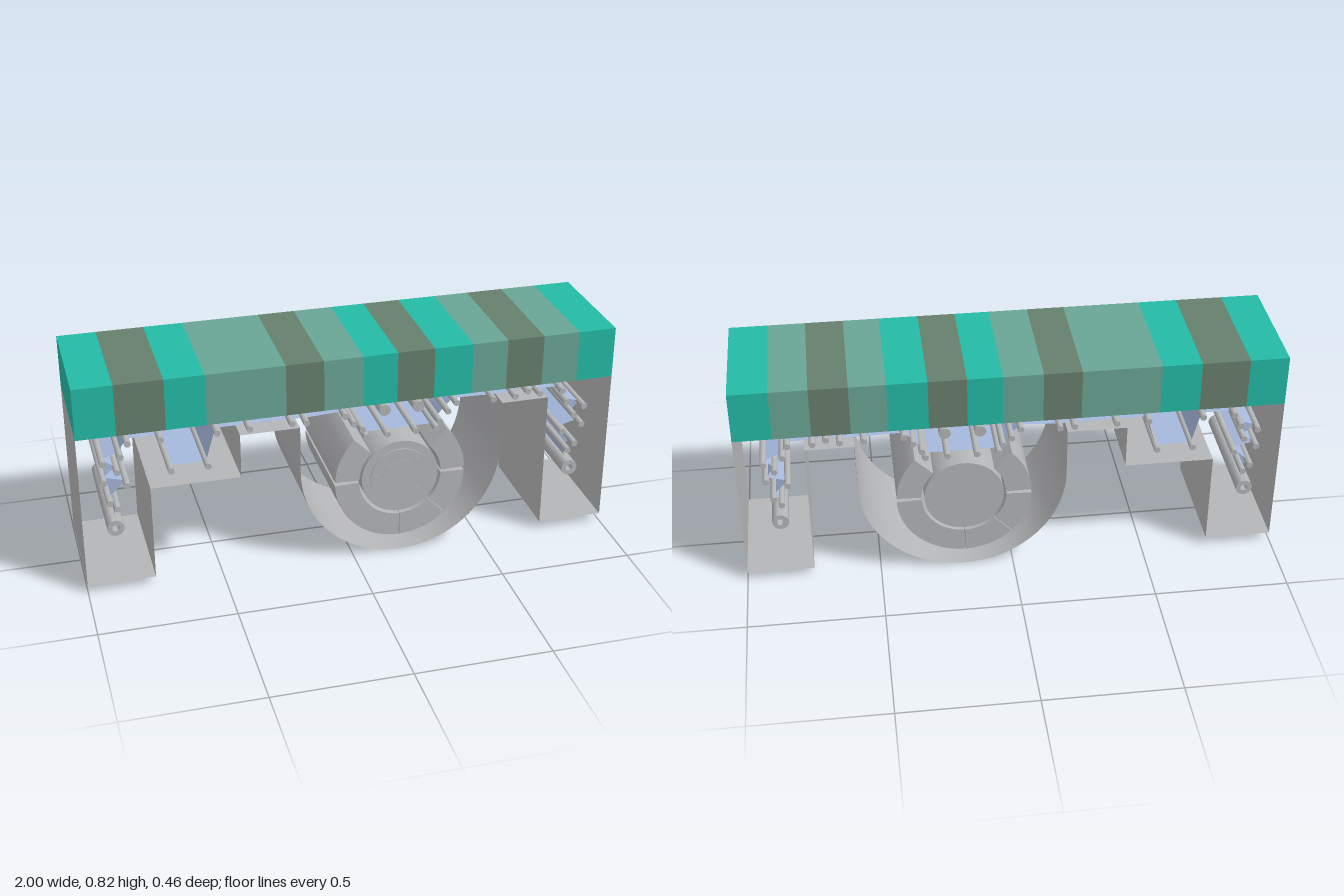
import * as THREE from 'three';
import { toCreasedNormals } from 'three/addons/utils/BufferGeometryUtils.js';

const mat = (name, color, side = THREE.FrontSide) => {
  const m = new THREE.MeshStandardMaterial({ color, side });
  m.name = name;
  return m;
};

// Open sheet swept along z, following a path of [x, y] points
function ribbon(points, z0, z1) {
  const pos = [];
  for (let i = 0; i < points.length - 1; i++) {
    const [ax, ay] = points[i], [bx, by] = points[i + 1];
    pos.push(ax, ay, z0, bx, by, z0, bx, by, z1, ax, ay, z0, bx, by, z1, ax, ay, z1);
  }
  const g = new THREE.BufferGeometry();
  g.setAttribute('position', new THREE.Float32BufferAttribute(pos, 3));
  return toCreasedNormals(g, 0.35);
}

export function createModel() {
  const model = new THREE.Group();
  model.name = 'webMachine';
  const grey = mat('machineGrey', 0xb4b5b7);
  const sheetGrey = grey.clone();
  sheetGrey.side = THREE.DoubleSide;
  const blue = mat('webBlue', 0xa5b8dc, THREE.DoubleSide);
  const T = mat('teal', 0x24baa5), S = mat('sage', 0x69a594), O = mat('olive', 0x667f6c);
  const W = 0.23;

  const add = (parent, name, geo, material, x = 0, y = 0, z = 0) => {
    const m = new THREE.Mesh(geo, material);
    m.name = name;
    m.position.set(x, y, z);
    parent.add(m);
    return m;
  };
  const group = (name, x = 0, y = 0) => {
    const g = new THREE.Group();
    g.name = name;
    g.position.set(x, y, 0);
    model.add(g);
    return g;
  };
  const rod = (r, z0, z1, sides = 20) =>
    new THREE.CylinderGeometry(r, r, z1 - z0, sides).rotateX(Math.PI / 2).translate(0, 0, (z0 + z1) / 2);

  // Striped top block
  const top = group('topBlock');
  const edges = [-1, -0.857, -0.682, -0.537, -0.249, -0.11, 0.035, 0.163, 0.302, 0.447, 0.58, 0.72, 0.858, 1];
  [T, O, T, S, O, S, T, O, T, S, O, S, T].forEach((m, i) => {
    const w = edges[i + 1] - edges[i];
    // the underside of each section is plain grey
    add(top, 'topSection', new THREE.BoxGeometry(w, 0.196, 2 * W), [m, m, m, grey, m, m],
      edges[i] + w / 2, 0.725);
  });

  // Thin casing: legs, shelf and round trough, open at front and back
  const trough = [];
  for (let i = 0; i <= 40; i++) {
    const a = Math.PI * (1 + i / 40);
    trough.push([0.185 + 0.385 * Math.cos(a), 0.385 + 0.385 * Math.sin(a)]);
  }
  const casing = [
    [-1, 0.627], [-1, 0.03], [-0.75, 0.03], [-0.75, 0.4], [-0.42, 0.4], [-0.42, 0.57], [-0.2, 0.57],
    ...trough, [0.57, 0.57], [0.75, 0.57], [0.75, 0.03], [1, 0.03], [1, 0.627],
  ];
  add(model, 'casing', ribbon(casing, -W, W), sheetGrey);

  // Drum: hub with a ring of six separate sectors, open at the top
  const drum = group('drum', 0.18, 0.315);
  for (let i = 0; i < 6; i++) {
    const a = Math.PI * (0.75 + i * 0.25);
    const big = 0.03, small = 0.006;
    const a0 = a + (i === 1 || i === 5 ? big : small);
    const a1 = a + Math.PI / 4 - (i === 0 || i === 4 ? big : small);
    const s = new THREE.Shape();
    s.absarc(0, 0, 0.25, a0, a1, false);
    s.absarc(0, 0, 0.158, a1, a0, true);
    s.closePath();
    const g = new THREE.ExtrudeGeometry(s, { depth: 2 * W - 0.004, bevelEnabled: false, curveSegments: 16 });
    add(drum, 'drumSector', toCreasedNormals(g, 0.4), grey, 0, 0, -W + 0.002);
  }
  add(drum, 'hub', rod(0.147, -W + 0.002, W - 0.004, 48), grey);
  add(drum, 'hubPlate', rod(0.115, W - 0.006, W + 0.001, 48), grey);
  add(drum, 'hubCap', rod(0.068, W - 0.006, W + 0.003, 40), grey);
  for (let i = 0; i < 8; i++) {
    const a = i * Math.PI / 4;
    add(drum, 'bolt', rod(0.012, W - 0.006, W + 0.003, 14), grey, 0.088 * Math.cos(a), 0.088 * Math.sin(a));
  }

  // Web path, from the left reel over every guide roller to the right reel
  const path = [
    [-0.87, 0.33], [-0.896, 0.356], [-0.83, 0.42], [-0.912, 0.441], [-0.863, 0.478], [-0.912, 0.516],
    [-0.848, 0.537], [-0.82, 0.586], [-0.703, 0.586], [-0.671, 0.457], [-0.537, 0.457], [-0.5, 0.586],
    [-0.382, 0.586], [-0.227, 0.586], [-0.174, 0.582], [-0.03, 0.59], [0.003, 0.554], [0.035, 0.527],
    [0.05, 0.495], [0.13, 0.495], [0.238, 0.495], [0.318, 0.495], [0.33, 0.522], [0.361, 0.559],
    [0.393, 0.59], [0.537, 0.586], [0.623, 0.586], [0.671, 0.602], [0.72, 0.586], [0.81, 0.586],
    [0.83, 0.537], [0.901, 0.511], [0.863, 0.478], [0.896, 0.436], [0.82, 0.414], [0.874, 0.356],
    [0.848, 0.329],
  ];
  const reels = [[-0.882, 0.254], [0.858, 0.254]];
  add(model, 'web', ribbon([reels[0], ...path, reels[1]], -0.19, 0.18), blue);

  const rollers = group('rollers');
  const small = rod(0.012, -0.226, 0.226, 16), big = rod(0.022, -0.226, 0.226, 24);
  for (const [x, y] of path) add(rollers, 'guideRoller', small, grey, x, y);
  for (const x of [0.118, 0.246]) add(rollers, 'pressRoller', big, grey, x, 0.596);

  // Hollow reels at both ends of the web
  const ring = new THREE.Shape();
  ring.absarc(0, 0, 0.031, 0, Math.PI * 2, false);
  const hole = new THREE.Path();
  hole.absarc(0, 0, 0.013, 0, Math.PI * 2, true);
  ring.holes.push(hole);
  const reel = toCreasedNormals(
    new THREE.ExtrudeGeometry(ring, { depth: 0.452, bevelEnabled: false, curveSegments: 12 }), 0.7);
  for (const [x, y] of reels) add(rollers, 'reel', reel, grey, x, y, -0.226);

  return model;
}
